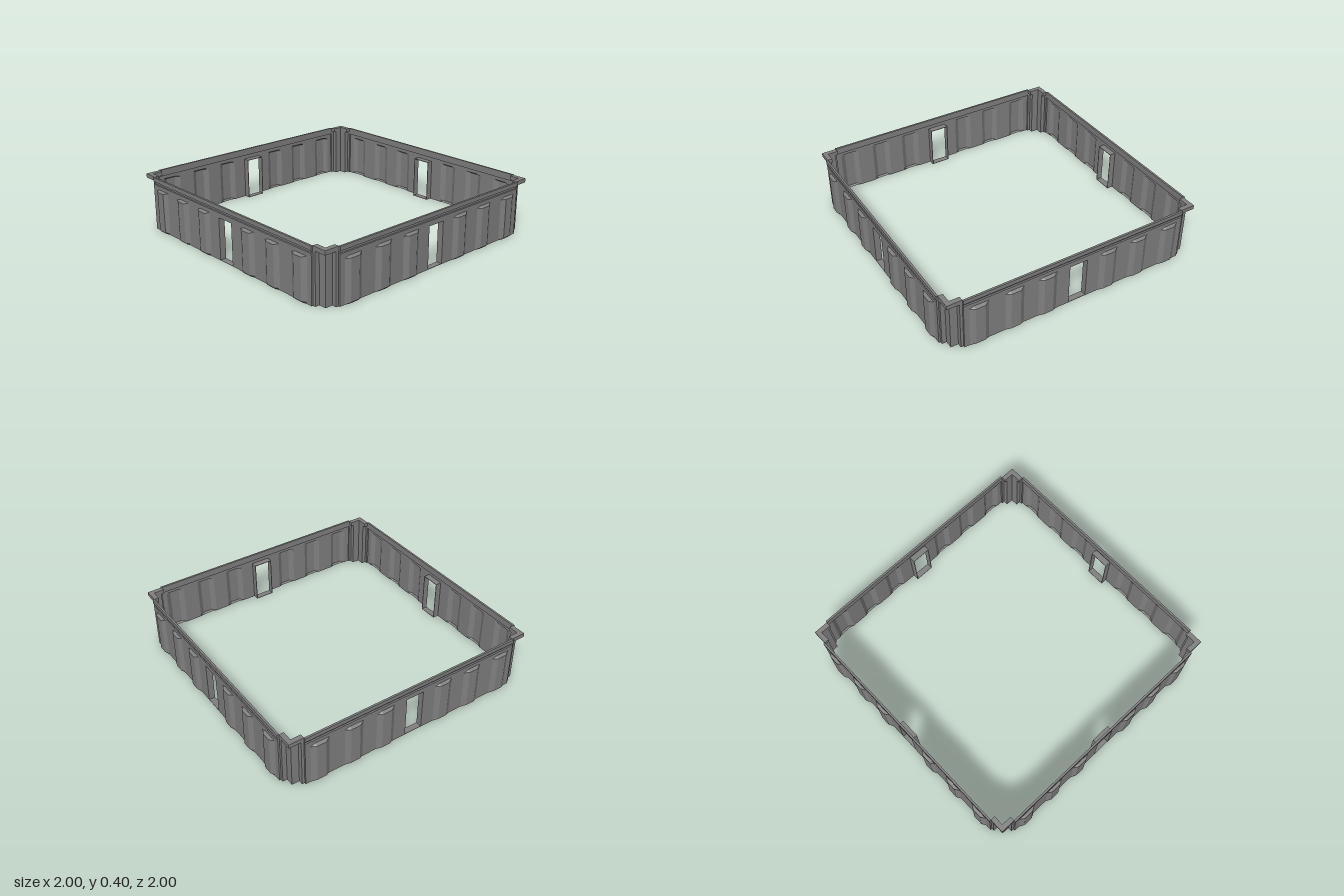
import * as THREE from 'three';

const grey = new THREE.MeshStandardMaterial({ color: 0x808080, flatShading: true, side: THREE.DoubleSide });
grey.name = 'wall grey';

const DOOR = 0.07, DOOR_TOP = 0.31, PANEL_END = 0.86, STEP = 0.88;
const PANEL_Z = 0.98, BASE_Z = 0.968, INSET = 0.935, BULGE = 0.02;
const PANEL_TOP = 0.345, CORNICE_Y = 0.365, TOP = 0.395;

function add(parent, geometry, name) {
  const mesh = new THREE.Mesh(geometry, grey);
  mesh.name = name;
  parent.add(mesh);
  return mesh;
}

function box(parent, name, x0, x1, y0, y1, z0, z1) {
  const mesh = add(parent, new THREE.BoxGeometry(x1 - x0, y1 - y0, z1 - z0), name);
  mesh.position.set((x0 + x1) / 2, (y0 + y1) / 2, (z0 + z1) / 2);
}

// Sheet through a grid of points: at(i, j) returns [x, y, z]
function sheet(cols, rows, at) {
  const pos = [], idx = [];
  for (let j = 0; j < rows; j++) for (let i = 0; i < cols; i++) pos.push(...at(i, j));
  for (let j = 0; j < rows - 1; j++) for (let i = 0; i < cols - 1; i++) {
    const a = j * cols + i, b = a + 1, c = a + cols, d = c + 1;
    idx.push(a, b, d, a, d, c);
  }
  const g = new THREE.BufferGeometry();
  g.setAttribute('position', new THREE.Float32BufferAttribute(pos, 3));
  g.setIndex(idx);
  const flat = g.toNonIndexed();
  flat.computeVertexNormals();
  return flat;
}

// Upright strip following a plan path of [x, z] points
const strip = (path, y0, y1) =>
  sheet(path.length, 2, (i, j) => [path[i][0], j ? y1 : y0, path[i][1]]);

// Half wall with three shallow trapezoid bulges, bevelled at both ends
function bulgedPanel(side) {
  const cols = [[DOOR, 0]];
  for (const c of [0.24, 0.49, 0.75]) {
    cols.push([c - 0.07, 0], [c - 0.035, 1], [c + 0.035, 1], [c + 0.07, 0]);
  }
  cols.push([PANEL_END, 0]);
  if (side < 0) cols.reverse();
  const rows = [[0, 0.4], [0.012, 1], [0.305, 1], [0.317, 0], [PANEL_TOP, 0]];
  return sheet(cols.length, rows.length, (i, j) =>
    [side * cols[i][0], rows[j][0], PANEL_Z + BULGE * cols[i][1] * rows[j][1]]);
}

function makeWall() {
  const wall = new THREE.Group();
  wall.name = 'wall';
  for (const s of [-1, 1]) {
    add(wall, bulgedPanel(s), 'bulgedPanel');
    // Panel edge and plain margin beside the corner
    const margin = [[s * PANEL_END, PANEL_Z], [s * PANEL_END, BASE_Z], [s * STEP, BASE_Z]];
    if (s < 0) margin.reverse();
    add(wall, strip(margin, 0, CORNICE_Y), 'wallMargin');
    // Door jamb reaching inwards
    box(wall, 'doorJamb', s * DOOR - 0.002, s * DOOR + 0.002, 0, DOOR_TOP, INSET, PANEL_Z);
  }
  add(wall, strip([[-DOOR, PANEL_Z], [DOOR, PANEL_Z]], DOOR_TOP, PANEL_TOP), 'panelOverDoor');
  box(wall, 'doorLintel', -DOOR, DOOR, DOOR_TOP - 0.002, DOOR_TOP + 0.002, INSET, PANEL_Z);
  box(wall, 'doorSill', -DOOR, DOOR, 0, 0.003, INSET, PANEL_Z);
  // Ledge, recessed band and cornice
  add(wall, sheet(2, 3, (i, j) => [(i ? 1 : -1) * PANEL_END,
    [PANEL_TOP, PANEL_TOP, CORNICE_Y][j], [PANEL_Z, BASE_Z, BASE_Z][j]]), 'recessedBand');
  box(wall, 'cornice', -PANEL_END, PANEL_END, CORNICE_Y, TOP, BASE_Z, 0.983);
  return wall;
}

function makeCorner() {
  const corner = new THREE.Group();
  corner.name = 'corner';
  // Stepped-in corner pillar
  add(corner, strip([[STEP, BASE_Z], [STEP, INSET], [INSET, INSET], [INSET, STEP], [BASE_Z, STEP]],
    0, CORNICE_Y), 'cornerPillar');
  // Overhanging L-shaped cap
  const shape = new THREE.Shape([[PANEL_END, -0.97], [0.97, -0.97], [0.97, -PANEL_END],
    [INSET, -PANEL_END], [INSET, -INSET], [PANEL_END, -INSET]].map(p => new THREE.Vector2(...p)));
  const cap = new THREE.ExtrudeGeometry(shape, { depth: TOP - CORNICE_Y, bevelEnabled: false });
  cap.rotateX(-Math.PI / 2).translate(0, CORNICE_Y, 0);
  add(corner, cap, 'cornerCap');
  return corner;
}

export function createModel() {
  const model = new THREE.Group();
  model.name = 'walledEnclosure';
  for (let k = 0; k < 4; k++) {
    const quarter = new THREE.Group();
    quarter.name = 'quarter';
    quarter.add(makeWall(), makeCorner());
    quarter.rotation.y = k * Math.PI / 2;
    model.add(quarter);
  }
  return model;
}
